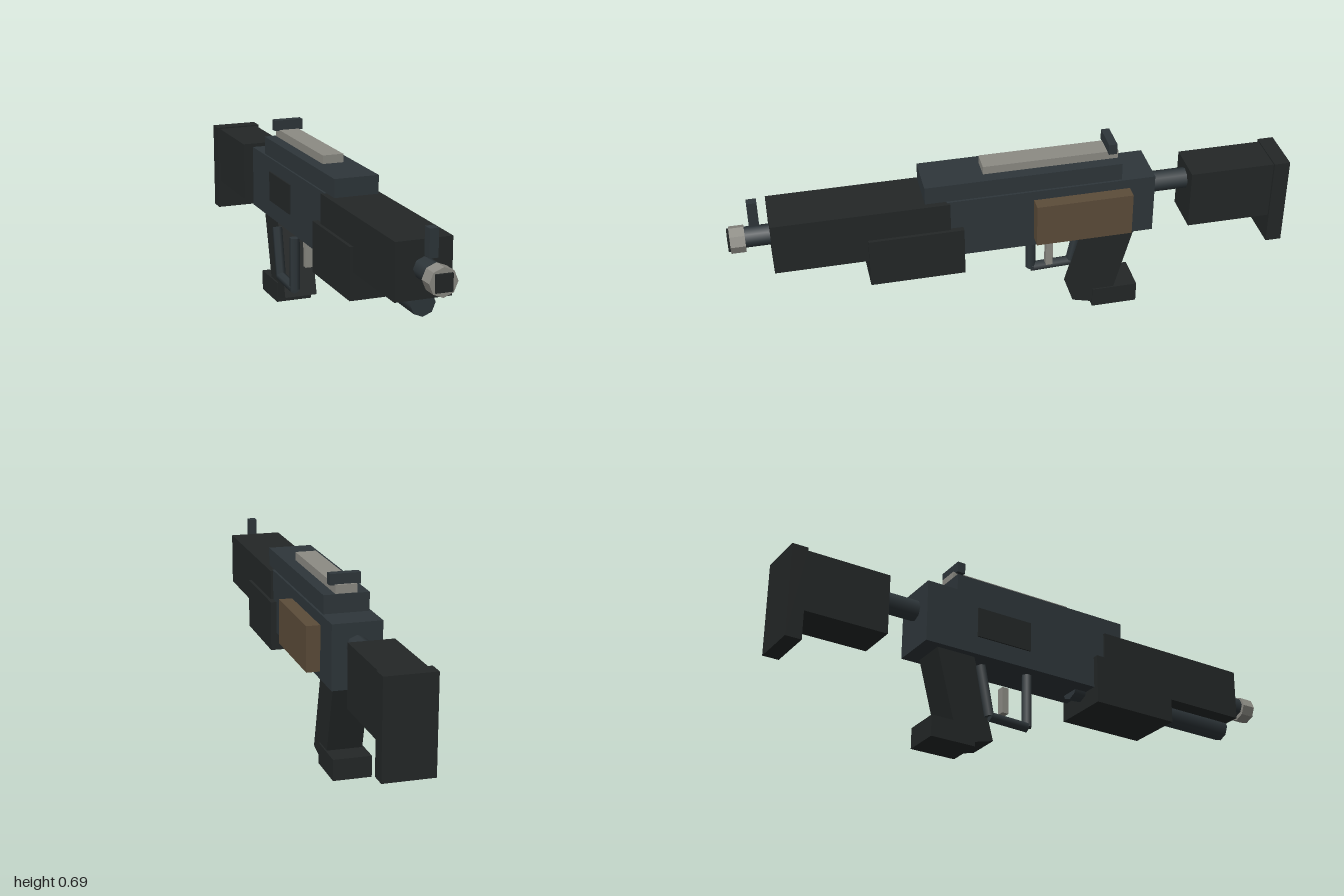
import * as THREE from 'three';

const CX = -0.018; // centre line of the body

export function createModel() {
  const model = new THREE.Group();
  const mat = (color, flatShading = true) => new THREE.MeshStandardMaterial({ color, flatShading });
  const black = mat(0x232727), steel = mat(0x2e363a), tubeSteel = mat(0x2e363a, false);
  const metal = mat(0x8c8b84), tan = mat(0x5c4c39), red = mat(0x8a1c1c);

  const add = (name, geometry, material) => {
    const mesh = new THREE.Mesh(geometry, material);
    mesh.name = name;
    model.add(mesh);
    return mesh;
  };
  // Box given by its limits on each axis
  const box = (name, [x0, x1], [y0, y1], [z0, z1], material) => {
    const mesh = add(name, new THREE.BoxGeometry(x1 - x0, y1 - y0, z1 - z0), material);
    mesh.position.set((x0 + x1) / 2, (y0 + y1) / 2, (z0 + z1) / 2);
    return mesh;
  };
  // Rod running between two points
  const rod = (name, from, to, radius, sides, material) => {
    const a = new THREE.Vector3(...from), b = new THREE.Vector3(...to);
    const mesh = add(name, new THREE.CylinderGeometry(radius, radius, a.distanceTo(b), sides), material);
    mesh.position.copy(a).lerp(b, 0.5);
    mesh.quaternion.setFromUnitVectors(new THREE.Vector3(0, 1, 0), b.sub(a).normalize());
    return mesh;
  };

  // Main body
  box('receiver', [-0.106, 0.069], [0.333, 0.56], [-0.495, 0.25], steel);
  box('upperReceiver', [-0.099, 0.061], [0.56, 0.625], [-0.375, 0.325], steel);
  box('handguard', [-0.115, 0.078], [0.365, 0.557], [0.24, 0.855], black);
  box('foregrip', [-0.127, 0.09], [0.268, 0.451], [0.195, 0.53], black);

  // Top rail and sights
  box('topRail', [-0.057, 0.019], [0.62, 0.655], [-0.37, 0.113], metal);
  box('rearSight', [-0.073, 0.035], [0.652, 0.691], [-0.361, -0.331], steel);
  box('frontSight', [-0.033, -0.003], [0.515, 0.608], [0.887, 0.922], steel);

  // Barrel, muzzle and lower tube
  rod('barrel', [CX, 0.465, 0.8], [CX, 0.465, 0.95], 0.037, 8, tubeSteel);
  rod('muzzle', [CX, 0.46, 0.94], [CX, 0.46, 0.992], 0.048, 8, metal);
  box('bore', [-0.047, 0.01], [0.431, 0.489], [0.95, 1], black);
  rod('lowerTube', [CX, 0.35, 0.148], [CX, 0.35, 0.852], 0.043, 8, tubeSteel);

  // Side fittings
  box('sidePanel', [0.079, 0.127], [0.372, 0.532], [-0.4, -0.055], tan);
  box('panelMount', [0.06, 0.08], [0.4, 0.5], [-0.275, -0.16], red);
  box('sidePort', [-0.111, -0.09], [0.4, 0.51], [-0.295, -0.08], black);

  // Stock
  rod('stockTube', [CX, 0.48, -0.45], [CX, 0.48, -0.68], 0.038, 8, tubeSteel);
  box('stock', [-0.097, 0.06], [0.32, 0.54], [-0.945, -0.635], black);
  box('buttPlate', [-0.107, 0.069], [0.21, 0.545], [-1, -0.942], black);

  // Slanted grip with its foot
  const grip = box('grip', [-0.081, 0.045], [0.014, 0.374], [-0.397, -0.257], black);
  grip.rotation.x = -0.262;
  box('gripFoot', [-0.087, 0.05], [0, 0.076], [-0.455, -0.287], black);

  // Trigger and its three-bar guard
  box('trigger', [-0.033, -0.004], [0.178, 0.275], [-0.147, -0.122], metal);
  const guard = [[0.31, -0.084], [0.115, -0.084], [0.12, -0.235], [0.3, -0.272]];
  for (let i = 0; i < 3; i++) {
    const [a, b] = [guard[i], guard[i + 1]];
    rod('triggerGuardBar', [-0.09, ...a], [-0.09, ...b], 0.019, 6, tubeSteel);
  }
  return model;
}
